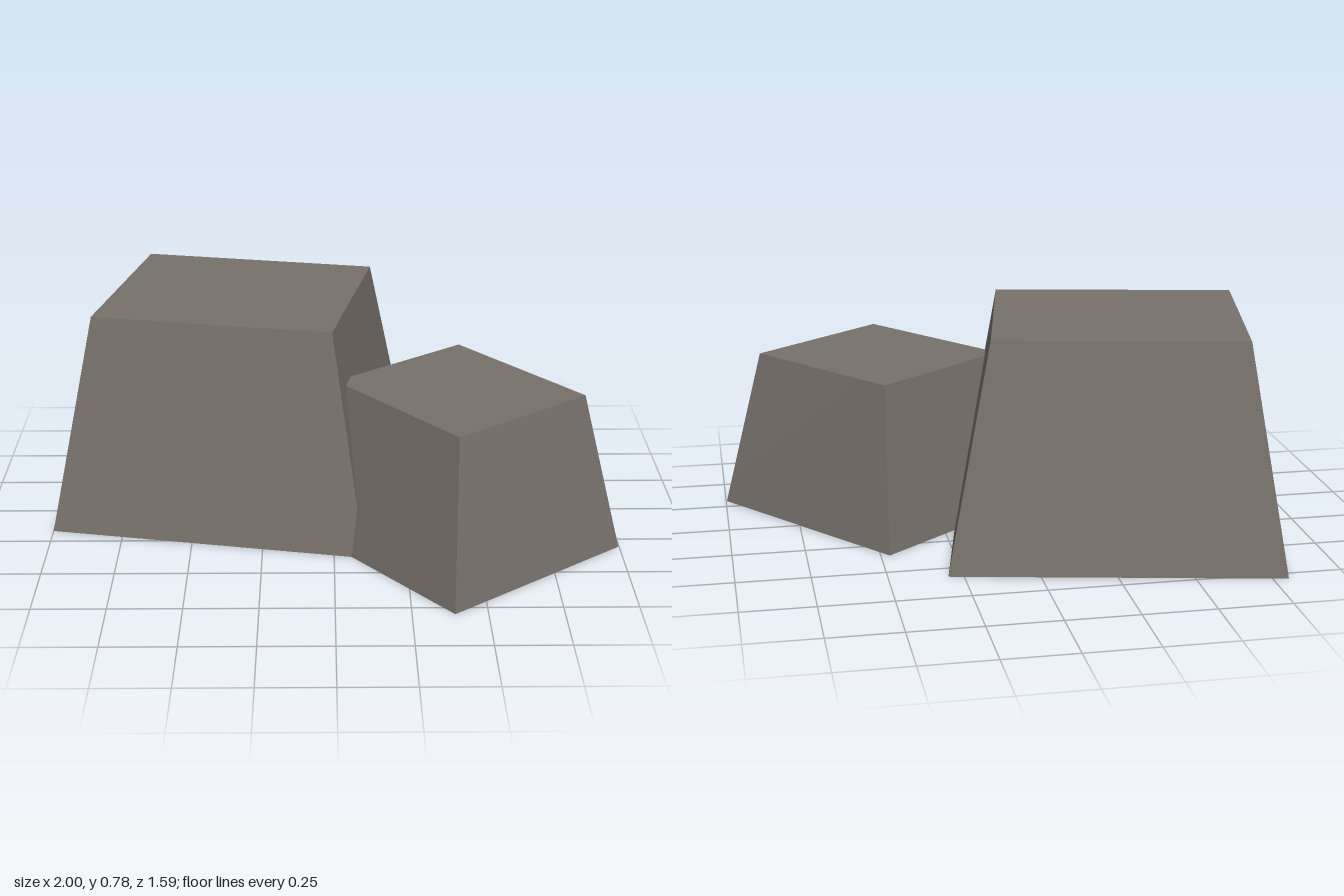
import * as THREE from 'three';

// Flat-sided tapered block: corners as [x, z] in order back-left, back-right, front-right, front-left
function taperedBlock(name, height, base, top, material) {
  const geometry = new THREE.BoxGeometry(1, 1, 1);
  const p = geometry.attributes.position;
  for (let i = 0; i < p.count; i++) {
    const right = p.getX(i) > 0, up = p.getY(i) > 0, front = p.getZ(i) > 0;
    const corner = front ? (right ? 2 : 3) : (right ? 1 : 0);
    const [x, z] = (up ? top : base)[corner];
    p.setXYZ(i, x, up ? height : 0, z);
  }
  geometry.computeVertexNormals();
  const mesh = new THREE.Mesh(geometry, material);
  mesh.name = name;
  return mesh;
}

export function createModel() {
  const stone = new THREE.MeshStandardMaterial({ color: 0x78716c });
  stone.name = 'stone';

  const model = new THREE.Group();
  model.name = 'rocks';

  // Tall rock at the back
  model.add(taperedBlock('largeRock', 0.777,
    [[-0.803, -0.798], [0.302, -0.576], [0.105, 0.39], [-1, 0.168]],
    [[-0.692, -0.651], [0.141, -0.483], [-0.006, 0.245], [-0.839, 0.077]], stone));

  // Low rock leaning into its front corner
  model.add(taperedBlock('smallRock', 0.565,
    [[-0.136, 0.135], [0.47, -0.35], [0.997, 0.31], [0.391, 0.795]],
    [[0.006, 0.15], [0.46, -0.212], [0.855, 0.29], [0.401, 0.652]], stone));

  return model;
}
